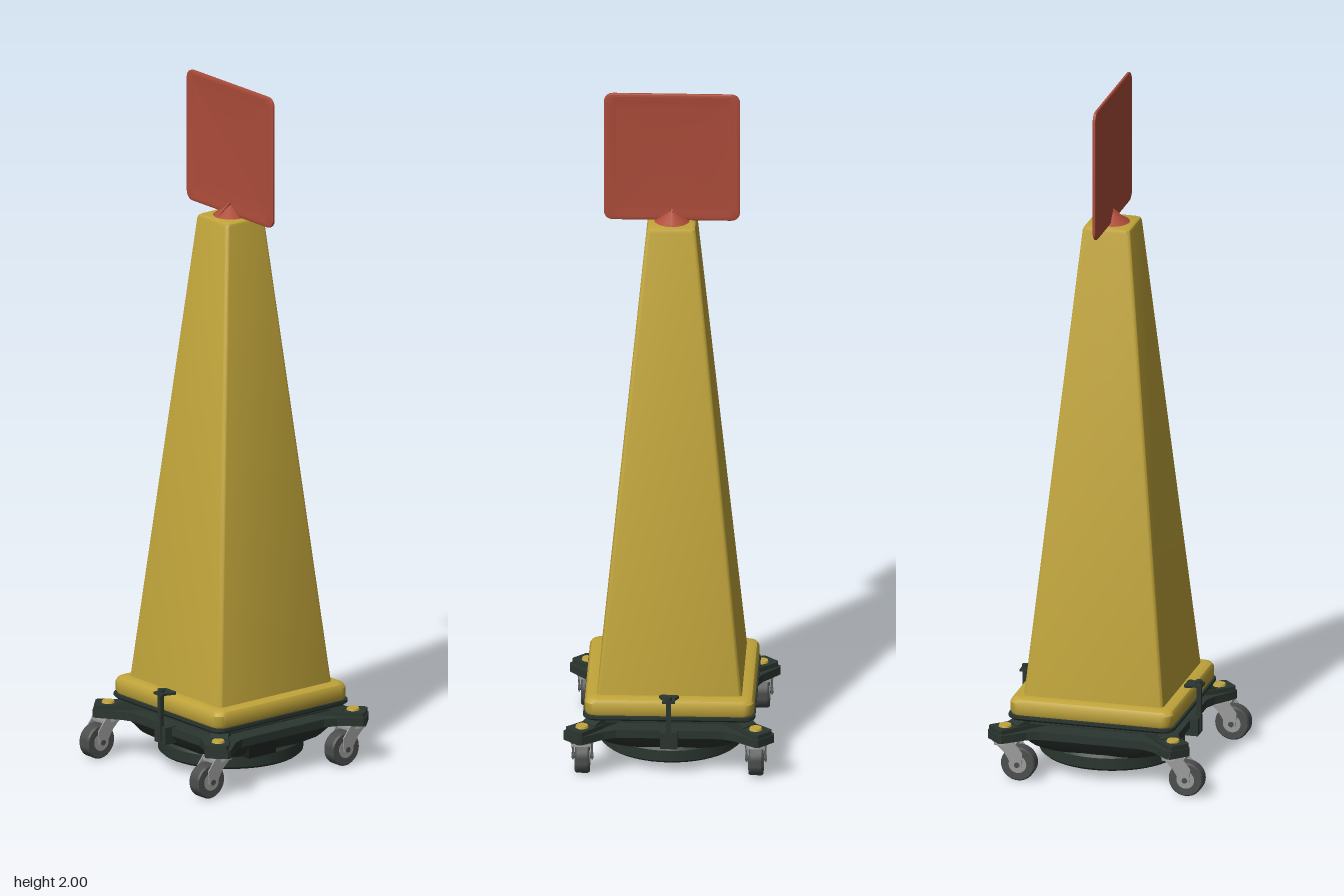
import * as THREE from 'three';
import { toCreasedNormals } from 'three/addons/utils/BufferGeometryUtils.js';

const mat = (name, color) => {
  const m = new THREE.MeshStandardMaterial({ color });
  m.name = name;
  return m;
};

// Loft of rounded squares: each section is [height, half width, corner radius]; both ends capped
function loft(sections, steps = 5) {
  const pos = [], idx = [], n = 4 * (steps + 1);
  for (const [y, a, r] of sections) {
    for (let q = 0; q < 4; q++) {
      const mid = (q + 0.5) * Math.PI / 2;
      const cx = Math.sign(Math.cos(mid)) * (a - r), cz = Math.sign(Math.sin(mid)) * (a - r);
      for (let s = 0; s <= steps; s++) {
        const t = (q + s / steps) * Math.PI / 2;
        pos.push(cx + r * Math.cos(t), y, cz + r * Math.sin(t));
      }
    }
  }
  const last = sections.length - 1;
  for (let j = 0; j < last; j++) {
    for (let i = 0; i < n; i++) {
      const k = (i + 1) % n, a = j * n + i, c = j * n + k;
      idx.push(a, a + n, c, a + n, c + n, c);
    }
  }
  const low = pos.length / 3;
  pos.push(0, sections[0][0], 0, 0, sections[last][0], 0);
  for (let i = 0; i < n; i++) {
    const k = (i + 1) % n;
    idx.push(low, i, k, low + 1, last * n + k, last * n + i);
  }
  const g = new THREE.BufferGeometry();
  g.setAttribute('position', new THREE.Float32BufferAttribute(pos, 3));
  g.setIndex(idx);
  return toCreasedNormals(g, 0.6);
}

function add(parent, name, geometry, material, x = 0, y = 0, z = 0) {
  const m = new THREE.Mesh(geometry, material);
  m.name = name;
  m.position.set(x, y, z);
  parent.add(m);
  return m;
}

const shapeOf = pts => new THREE.Shape(pts.map(p => new THREE.Vector2(p[0], p[1])));
// Extrude a plan outline (x, z) upwards
const slab = (pts, depth) => new THREE.ExtrudeGeometry(shapeOf(pts.map(([x, z]) => [x, -z])),
  { depth, bevelEnabled: false }).rotateX(-Math.PI / 2);

export function createModel() {
  const yellow = mat('yellow plastic', 0xc0a43a);
  const red = mat('red plastic', 0xad4c3a);
  const dark = mat('dark green plastic', 0x2b3630);
  const black = mat('black plastic', 0x1b1e1d);
  const metal = mat('caster metal', 0x9c9c9c);
  const rubber = mat('wheel rubber', 0x4c4e4e);
  const wire = mat('grille wire', 0x59625c);

  const model = new THREE.Group();
  model.name = 'wheeledSafetyCone';
  const body = new THREE.Group();
  body.name = 'body';
  body.position.z = -0.022;
  model.add(body);

  // Cone with its rounded foot
  add(body, 'coneFoot', loft([[0.185, 0.236, 0.03], [0.195, 0.24, 0.03], [0.222, 0.24, 0.03],
    [0.232, 0.234, 0.028], [0.237, 0.222, 0.022], [0.237, 0.2, 0.016]]), yellow);
  add(body, 'cone', loft([[0.23, 0.206, 0.014], [1.6, 0.07, 0.01], [1.608, 0.067, 0.01],
    [1.612, 0.06, 0.01]]), yellow);

  // Sign with a raised rim on both faces, on a conical mount with ribs
  const sign = loft([[-0.002, 0.155, 0.012], [-0.0025, 0.165, 0.014], [-0.0055, 0.184, 0.02],
    [-0.0055, 0.189, 0.024], [-0.003, 0.193, 0.025], [0.003, 0.193, 0.025],
    [0.0055, 0.189, 0.024], [0.0055, 0.184, 0.02], [0.0025, 0.165, 0.014], [0.002, 0.155, 0.012]]);
  add(body, 'signPanel', sign.rotateX(Math.PI / 2), red, 0, 1.807, 0);
  add(body, 'signMount', new THREE.CylinderGeometry(0.008, 0.053, 0.03, 32), red, 0, 1.625, 0);
  const rib = new THREE.ExtrudeGeometry(shapeOf([[-0.053, 0], [0.053, 0], [0.006, 0.038], [-0.006, 0.038]]),
    { depth: 0.005, bevelEnabled: false }).translate(0, 0, -0.0025).rotateY(Math.PI / 2);
  add(body, 'signRib', rib, red, 0, 1.61, 0);

  // Cart deck with four diagonal arms
  const corner = [[0.235, 0.15], [0.25, 0.185], [0.298, 0.243], [0.298, 0.253],
    [0.256, 0.295], [0.246, 0.295], [0.185, 0.25], [0.15, 0.235]];
  const outline = [];
  for (let q = 0; q < 4; q++) {
    const sx = q === 0 || q === 3 ? 1 : -1, sz = q < 2 ? 1 : -1;
    const pts = corner.map(([x, z]) => [x * sx, z * sz]);
    outline.push(...(q % 2 ? pts.reverse() : pts));
  }
  add(body, 'deck', slab(outline, 0.024), dark, 0, 0.118, 0);
  add(body, 'deckSkirt', loft([[0.072, 0.19, 0.1], [0.085, 0.212, 0.1], [0.118, 0.232, 0.08]]), dark);
  add(body, 'coneTray', loft([[0.172, 0.238, 0.03], [0.178, 0.244, 0.03], [0.187, 0.244, 0.03]]), dark);

  // Thin rails in the gap between deck and tray
  for (const s of [-1, 1]) {
    add(body, 'rail', new THREE.BoxGeometry(0.42, 0.005, 0.006), dark, 0, 0.16, s * 0.215);
    add(body, 'rail', new THREE.BoxGeometry(0.006, 0.005, 0.42), dark, s * 0.215, 0.16, 0);
  }

  // Round housing, open below, with a wire grille and fan
  const housing = [[0, 0.085], [0.15, 0.085], [0.158, 0.035], [0.165, 0.029], [0.198, 0.029],
    [0.206, 0.036], [0.206, 0.068], [0.2, 0.076], [0.2, 0.12]].map(p => new THREE.Vector2(...p));
  add(body, 'fanHousing', toCreasedNormals(new THREE.LatheGeometry(housing, 48), 0.6), dark);
  for (let i = 0; i < 9; i++) {
    const ring = new THREE.TorusGeometry(0.03 + i * 0.0155, 0.0018, 5, 40).rotateX(Math.PI / 2);
    add(body, 'grilleRing', ring, wire, 0, 0.036, 0);
  }
  for (let i = 0; i < 6; i++) {
    const spoke = add(body, 'grilleSpoke', new THREE.BoxGeometry(0.31, 0.003, 0.004), wire, 0, 0.039, 0);
    spoke.rotation.y = i * Math.PI / 6;
    const blade = new THREE.BoxGeometry(0.1, 0.004, 0.05).rotateX(0.4).translate(0.085, 0, 0);
    add(body, 'fanBlade', blade, black, 0, 0.064, 0).rotation.y = i * Math.PI / 3;
  }
  add(body, 'fanHub', new THREE.CylinderGeometry(0.032, 0.032, 0.05, 24), dark, 0, 0.06, 0);
  add(body, 'sidePanel', new THREE.BoxGeometry(0.04, 0.04, 0.1), black, 0.208, 0.096, 0.07);

  // Front and back latches
  for (const s of [1, -1]) {
    const latch = new THREE.Group();
    latch.name = s > 0 ? 'frontLatch' : 'backLatch';
    latch.rotation.y = s > 0 ? 0 : Math.PI;
    body.add(latch);
    add(latch, 'latchPost', new THREE.BoxGeometry(0.014, 0.155, 0.012), dark, 0, 0.178, 0.256);
    add(latch, 'latchFoot', new THREE.BoxGeometry(0.05, 0.05, 0.04), dark, 0, 0.12, 0.238);
    add(latch, 'latchPlate', slab([[0.018, 0.267], [-0.018, 0.267], [-0.018, 0.245], [-0.028, 0.225],
      [-0.022, 0.217], [0.022, 0.217], [0.028, 0.225], [0.018, 0.245]], 0.007), dark, 0, 0.238, 0);
    add(latch, 'latchPin', new THREE.CylinderGeometry(0.01, 0.01, 0.012, 16), dark, 0, 0.249, 0.255);
  }

  // Corner pads, sloped braces, yellow caps and trailing casters
  const pad = [[-0.028, -0.06], [0.028, -0.06], [0.033, 0.03], [0.026, 0.038], [-0.026, 0.038], [-0.033, 0.03]];
  const brace = new THREE.ExtrudeGeometry(shapeOf([[-0.13, 0.12], [0, 0.12], [0, 0.158], [-0.04, 0.175], [-0.13, 0.175]]),
    { depth: 0.05, bevelEnabled: false }).translate(0, 0, -0.025).rotateY(-Math.PI / 2);
  const forkShape = shapeOf([[-0.03, 0.118], [0.032, 0.118], [0.058, 0.085], [0.055, 0.045],
    [0.042, 0.037], [0.03, 0.044], [0.005, 0.085]]);
  const fork = new THREE.ExtrudeGeometry(forkShape, { depth: 0.004, bevelEnabled: false })
    .translate(0, 0, -0.002).rotateY(-Math.PI / 2);
  const disc = (r, w) => new THREE.CylinderGeometry(r, r, w, 32).rotateZ(Math.PI / 2);
  const tread = [[0.02, -0.021], [0.046, -0.021], [0.05, -0.016], [0.05, 0.016], [0.046, 0.021], [0.02, 0.021]]
    .map(p => new THREE.Vector2(...p));
  const tyre = toCreasedNormals(new THREE.LatheGeometry(tread, 36), 0.6).rotateZ(Math.PI / 2);
  for (const sx of [-1, 1]) {
    for (const sz of [-1, 1]) {
      const arm = new THREE.Group();
      arm.name = 'cornerArm';
      arm.position.set(sx * 0.246, 0, sz * 0.2465);
      arm.rotation.y = Math.atan2(sx, sz);
      body.add(arm);
      add(arm, 'cornerPad', slab(pad, 0.036), dark, 0, 0.119, 0);
      add(arm, 'cornerBrace', brace, dark, 0, 0, -0.025);
      add(arm, 'cornerCap', new THREE.CylinderGeometry(0.017, 0.019, 0.006, 28), yellow, 0, 0.158, 0);

      const caster = new THREE.Group();
      caster.name = 'caster';
      caster.position.set(sx * 0.246, 0, sz * 0.2465);
      body.add(caster);
      add(caster, 'swivel', new THREE.CylinderGeometry(0.03, 0.033, 0.014, 28), metal, 0, 0.114, 0);
      add(caster, 'forkTop', new THREE.BoxGeometry(0.054, 0.008, 0.064), metal, 0, 0.108, 0.006);
      for (const s of [-1, 1]) add(caster, 'forkSide', fork, metal, s * 0.027, 0, 0);
      add(caster, 'tyre', tyre, rubber, 0, 0.0505, 0.042);
      add(caster, 'wheelHub', disc(0.026, 0.044), metal, 0, 0.0505, 0.042);
      add(caster, 'axle', disc(0.008, 0.062), rubber, 0, 0.0505, 0.042);
    }
  }
  return model;
}
